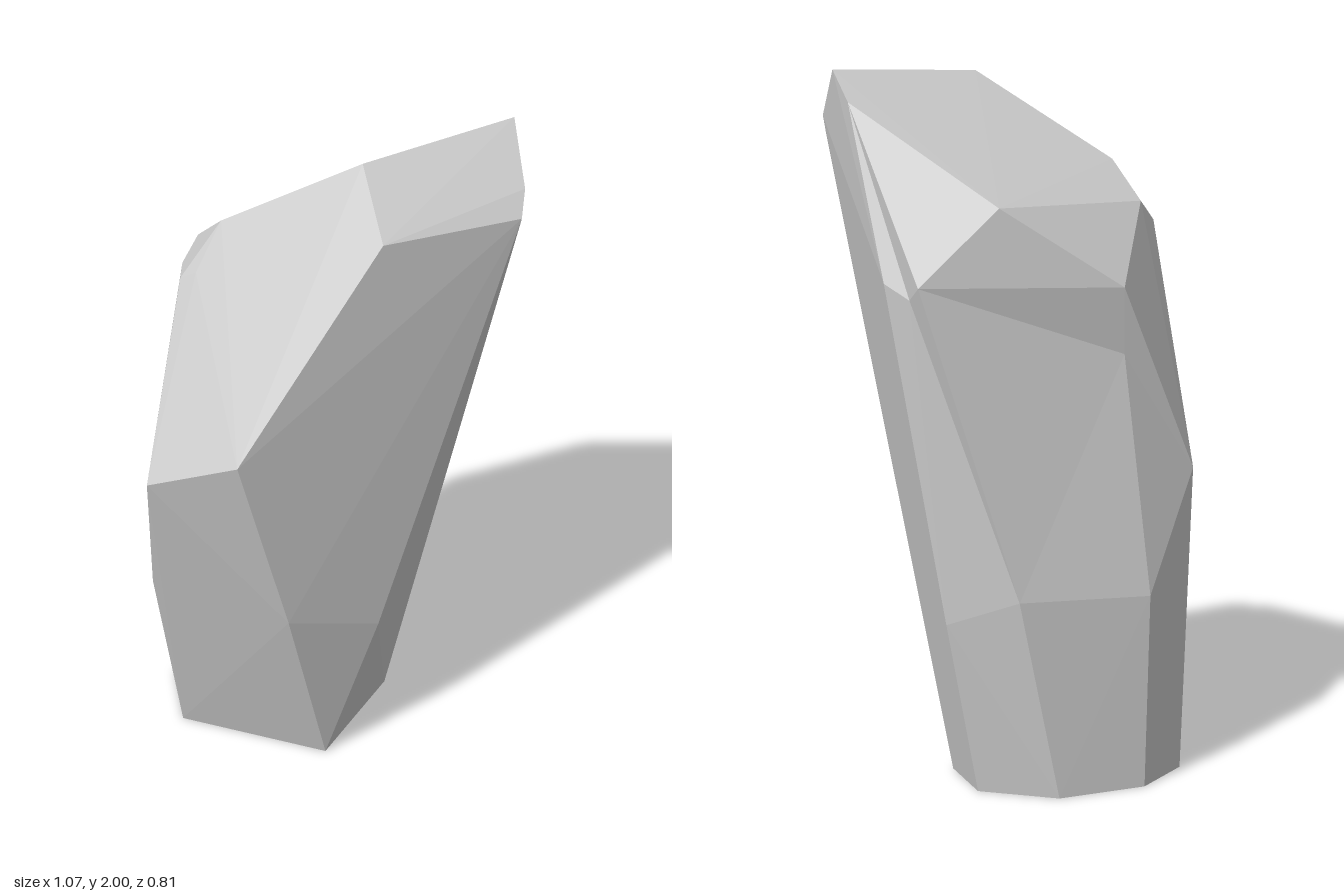
import * as THREE from 'three';
import { ConvexGeometry } from 'three/addons/geometries/ConvexGeometry.js';

const points = (rows) => rows.map((p) => new THREE.Vector3(...p));

// Foot: seven-sided outline lying on the ground
const foot = points([
  [-0.02, 0, 0.2], [0.25, 0, -0.06], [0.25, 0, -0.26], [0.06, 0, -0.4],
  [-0.2, 0, -0.4], [-0.36, 0, -0.29], [-0.39, 0, -0.07],
]);

// Flanks: slight bulges along the long edges, and the two front shoulders
const flanks = points([
  [-0.17, 0.62, 0.33], [0.12, 0.5, 0.26], [0.345, 0.5, -0.27], [0.18, 0.58, -0.402],
  [-0.21, 0.56, -0.405], [-0.4, 0.88, -0.27], [-0.5, 0.66, 0.08],
  [-0.33, 1.23, 0.4], [-0.535, 1.09, 0.21],
]);

// Crown: bevelled front lip and the big slope falling to the back
const crown = points([
  [0.53, 2, 0.1], [0.08, 1.975, 0.185], [0.085, 1.82, 0.35], [0.49, 1.8, 0.29],
  [0.515, 1.86, 0.24], [0.52, 1.92, 0], [0.19, 1.65, -0.28], [-0.16, 1.42, -0.325],
]);

// Chipped corners on both sides
const chips = points([
  [-0.245, 1.735, -0.04], [-0.25, 1.69, -0.015], [-0.325, 1.6, -0.015],
  [-0.36, 1.57, -0.05], [-0.335, 1.57, -0.125], [-0.28, 1.63, -0.16],
  [0.465, 1.5, -0.235], [0.488, 1.45, -0.19], [0.447, 1.33, -0.25],
  [0.42, 1.32, -0.295], [0.43, 1.45, -0.3],
]);

// Dents: hull points that are pushed inward after the hull is made
const dents = [
  { from: new THREE.Vector3(0.478, 1.42, -0.265), to: new THREE.Vector3(0.435, 1.41, -0.245) },
  { from: new THREE.Vector3(-0.17, 1.23, -0.348), to: new THREE.Vector3(-0.17, 1.23, -0.305) },
];

export function createModel() {
  const hull = [...foot, ...flanks, ...crown, ...chips, ...dents.map((d) => d.from)];
  const geometry = new ConvexGeometry(hull);

  const position = geometry.attributes.position;
  const v = new THREE.Vector3();
  for (let i = 0; i < position.count; i++) {
    v.fromBufferAttribute(position, i);
    for (const { from, to } of dents) {
      if (v.distanceTo(from) < 1e-4) position.setXYZ(i, to.x, to.y, to.z);
    }
  }
  geometry.computeVertexNormals();

  const rock = new THREE.Mesh(
    geometry,
    new THREE.MeshStandardMaterial({ color: 0xcccccc, flatShading: true }),
  );
  rock.name = 'standingRock';

  const group = new THREE.Group();
  group.name = 'rock';
  group.add(rock);
  return group;
}
